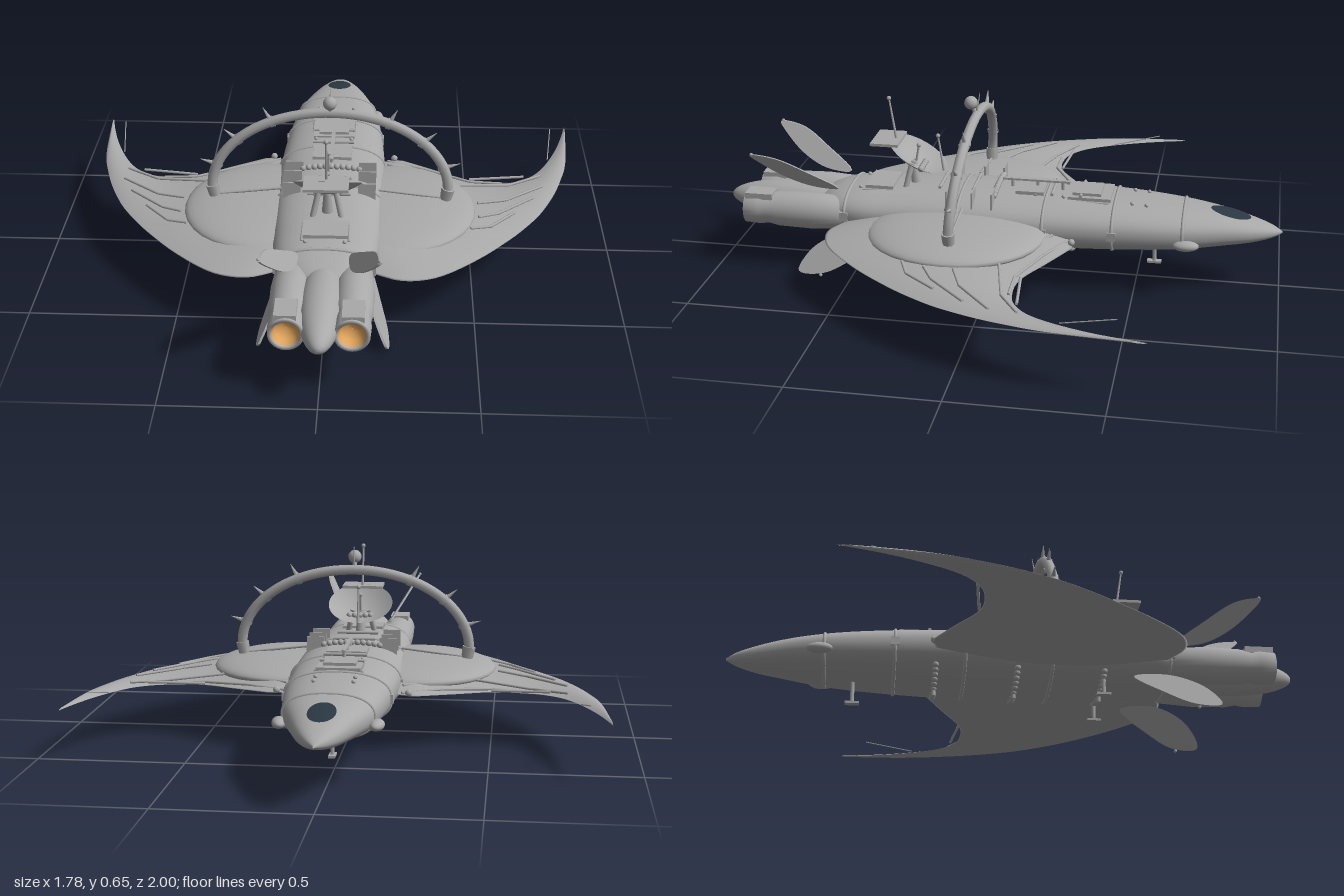
import * as THREE from 'three';

const V = (x, y, z) => new THREE.Vector3(x, y, z);

// Smooth lookup through rows of [station, ...values]
function table(rows) {
  const n = rows[0].length - 1;
  const f = new THREE.CubicInterpolant(rows.map(r => r[0]), rows.flatMap(r => r.slice(1)), n, new Float64Array(n));
  return t => [...f.evaluate(t)];
}

// Skin over closed rings of points
function loft(rings, flip) {
  const n = rings[0].length, idx = [];
  for (let i = 0; i < rings.length - 1; i++) for (let j = 0; j < n; j++) {
    const a = i * n + j, b = i * n + (j + 1) % n, c = a + n, d = b + n;
    if (flip) idx.push(a, c, b, b, c, d); else idx.push(a, b, c, b, d, c);
  }
  const g = new THREE.BufferGeometry().setFromPoints(rings.flat());
  g.setIndex(idx);
  g.computeVertexNormals();
  return g;
}

// Hull: z -> half width, bottom, top
const hullAt = table([[-1, .003, .208, .214], [-.97, .03, .195, .23], [-.9, .068, .178, .252], [-.8, .105, .165, .275],
  [-.66, .147, .15, .293], [-.42, .178, .137, .31], [-.1, .193, .13, .318], [.15, .192, .13, .318],
  [.35, .182, .135, .31], [.53, .162, .147, .298], [.6, .125, .16, .28], [.66, .05, .19, .25]]);
const pw = (v, e) => Math.sign(v) * Math.abs(v) ** e;
function hullPoint(z, a) {
  const [w, b, t] = hullAt(z);
  return V(w * pw(Math.cos(a), .85), (b + t) / 2 + (t - b) / 2 * pw(Math.sin(a), .85), z);
}
const hullRing = z => Array.from({ length: 40 }, (_, j) => hullPoint(z, j / 40 * Math.PI * 2));
function hullTop(x, z) {
  const [w, b, t] = hullAt(z);
  const c = Math.min(1, Math.abs(x) / w) ** (1 / .85);
  return (b + t) / 2 + (t - b) / 2 * Math.sqrt(1 - c * c) ** .85;
}

// Wing: x -> leading z, trailing z, edge y, rise above, drop below
const wingAt = table([[.12, -.27, .5, .205, .065, .04], [.2, -.285, .545, .205, .06, .037], [.24, -.297, .562, .205, .053, .035],
  [.3, -.27, .56, .203, .045, .03], [.375, -.23, .528, .2, .036, .026], [.51, -.158, .4, .194, .028, .018],
  [.6, -.15, .29, .191, .022, .013], [.68, -.17, .18, .191, .018, .009], [.76, -.245, .04, .193, .014, .007],
  [.835, -.41, -.17, .197, .01, .006], [.87, -.53, -.34, .2, .007, .005], [.888, -.61, -.56, .202, .003, .003]]);
function wingTop(x, z) {
  const [l, t, y, up] = wingAt(x);
  const u = (z - (l + t) / 2) / ((t - l) / 2);
  return y + up * Math.max(0, 1 - u * u);
}
function wingGeometry(s) {
  const rings = [];
  for (let i = 0; i <= 44; i++) {
    const x = .12 + .768 * Math.sin(i / 44 * Math.PI / 2);
    const [l, t, y, up, down] = wingAt(x);
    rings.push(Array.from({ length: 32 }, (_, j) => {
      const a = j / 32 * Math.PI * 2, c = Math.cos(a);
      return V(s * x, y + (c > 0 ? up : -down) * c * c, (l + t) / 2 + (t - l) / 2 * Math.sin(a));
    }));
  }
  return loft(rings, s < 0);
}

export function createModel() {
  const model = new THREE.Group();
  const mat = (name, color) => new THREE.MeshStandardMaterial({ name, color, side: THREE.DoubleSide });
  const grey = mat('hull grey', 0xa9a9a9);
  const glass = mat('dark glass', 0x2b3842);
  const glow = mat('engine orange', 0xe0a45c);

  const add = (name, geo, material = grey, pos) => {
    const m = new THREE.Mesh(geo, material);
    m.name = name;
    if (pos) m.position.copy(pos);
    model.add(m);
    return m;
  };
  const box = (name, w, h, d, x, y, z) => add(name, new THREE.BoxGeometry(w, h, d), grey, V(x, y, z));
  const ball = (name, r, p) => add(name, new THREE.SphereGeometry(r, 14, 10), grey, p);
  const rod = (name, a, b, r, r2 = r) => {
    const m = add(name, new THREE.CylinderGeometry(r2, r, a.distanceTo(b), 8), grey, a.clone().lerp(b, .5));
    m.quaternion.setFromUnitVectors(V(0, 1, 0), b.clone().sub(a).normalize());
    return m;
  };
  const tube = (name, pts, r, closed = false) =>
    add(name, new THREE.TubeGeometry(new THREE.CatmullRomCurve3(pts, closed), 64, r, 8, closed));

  // Fuselage, raised bands and tail cone
  add('fuselage', loft(Array.from({ length: 61 }, (_, i) => hullRing(-.17 - .83 * Math.cos(i / 60 * Math.PI)))));
  for (const z of [-.66, -.42, -.18, .12, .53]) tube('hullBand', hullRing(z), .006, true);
  add('tailCone', new THREE.SphereGeometry(1, 28, 20).rotateX(Math.PI / 2).scale(.072, .066, .26), grey, V(0, .217, .735));

  // Canopy skin laid on the nose
  const canopy = new THREE.RingGeometry(.001, 1, 28, 5), cp = canopy.attributes.position;
  for (let i = 0; i < cp.count; i++) {
    const x = cp.getX(i) * .045, z = -.82 - cp.getY(i) * .07;
    cp.setXYZ(i, x, hullTop(x, z) + .004, z);
  }
  canopy.computeVertexNormals();
  add('canopy', canopy, glass);

  // Blade fin drawn in the z-y plane and leaned outward
  const fin = (name, pts, s, x0, y0, k) => {
    const curve = new THREE.CatmullRomCurve3(pts.map(p => V(p[0], p[1], 0)), true);
    const g = new THREE.ExtrudeGeometry(new THREE.Shape(curve.getPoints(40).slice(0, -1)), { depth: .008, bevelEnabled: false });
    const p = g.attributes.position;
    for (let i = 0; i < p.count; i++)
      p.setXYZ(i, s * (x0 + (p.getY(i) - y0) * k + p.getZ(i)), p.getY(i), p.getX(i));
    g.computeVertexNormals();
    add(name, g);
  };

  for (const s of [1, -1]) {
    // Wing with raised inner blister and kinked ribs
    add('wing', wingGeometry(s));
    add('wingBlister', new THREE.SphereGeometry(1, 32, 20).scale(.285, .05, .31), grey, V(s * .225, .222, .11));
    const ribs = [[[.2, -.22], [.43, -.075], [.64, -.12], [.76, -.19]], [[.2, -.275], [.34, -.21], [.5, -.14], [.62, -.14]],
      [[.52, .06], [.62, .02], [.76, -.1]], [[.52, .16], [.59, .12], [.72, -.01]], [[.49, .24], [.56, .21], [.65, .1]]];
    for (const path of ribs) {
      const pts = path.map(([x, z]) => V(s * x, wingTop(x, z) + .003, z));
      for (let i = 1; i < pts.length; i++) rod('wingRib', pts[i - 1], pts[i], .005);
    }
    rod('wingAerial', V(s * .8, .2, -.33), V(s * .822, .24, -.51), .002);
    rod('edgeWire', V(s * .5, .2, -.16), V(s * .7, .205, -.18), .005);
    ball('wingRootKnob', .012, V(s * .225, .215, -.29));

    // Engine pod, orange throat and top box
    const profile = [[.02, .48], [.058, .54], [.066, .66], [.063, .78], [.055, .82], [.06, .85], [.057, .905], [.045, .905], [.04, .86]];
    add('enginePod', new THREE.LatheGeometry(profile.map(p => new THREE.Vector2(...p)), 28).rotateX(Math.PI / 2), grey, V(s * .102, .214, 0));
    const throat = [[.044, .9], [.036, .875], [.018, .862], [.001, .86]];
    add('engineThroat', new THREE.LatheGeometry(throat.map(p => new THREE.Vector2(...p)), 24).rotateX(Math.PI / 2), glow, V(s * .102, .214, 0));
    box('engineBox', .07, .022, .1, s * .105, .268, .85);

    // Upper and lower tail blades
    fin('upperFin', [[.566, .3], [.66, .305], [.75, .345], [.82, .4], [.858, .443], [.83, .444], [.76, .428], [.67, .375]], s, .085, .3, .65);
    fin('lowerFin', [[.4, .14], [.47, .155], [.56, .145], [.65, .095], [.69, .025], [.6, .022], [.5, .07]], s, .14, .155, -.5);
    ball('finTip', .006, V(s * .185, .446, .85));
    ball('finTip', .006, V(s * .21, .012, .61));

    // Nose pods, rear landing legs and upright deck plates
    const pod = add('nosePod', new THREE.SphereGeometry(1, 18, 14).scale(.024, .018, .045), grey, V(s * .155, .2, -.675));
    pod.rotation.y = s * .1;
    rod('rearLeg', V(s * .12, .17, .3), V(s * .12, .085, .3), .007);
    box('rearFoot', .022, .008, .05, s * .12, .084, .3);
    for (const z of [0, .07, .16]) box('deckPlate', .062, .065, .006, s * .13, .312, z);

    // Long deck rails, small fittings and side clamps
    rod('deckRail', V(s * .078, hullTop(.078, -.4), -.4), V(s * .078, hullTop(.078, .48), .48), .005);
    for (const z of [-.53, -.48, -.36, -.24, -.14, .4, .45, .49]) ball('deckStud', .007, V(s * .065, hullTop(.065, z) + .004, z));
    for (const z of [-.42, -.18, .53]) box('bandClamp', .014, .03, .03, s * hullAt(z)[0], .225, z);
  }

  // Front landing leg
  rod('frontLeg', V(0, .15, -.56), V(0, .066, -.56), .007);
  box('frontFoot', .022, .008, .05, 0, .066, -.56);

  // Bead strings below the belly and across the deck
  for (const z of [-.28, 0, .3]) {
    for (let k = -5; k <= 5; k++) ball('bellyBead', .011, hullPoint(z, -Math.PI / 2 + k * .17));
    rod('bellyPeg', V(0, .14, z), V(0, .105, z), .007);
  }
  for (let k = -5; k <= 5; k++) ball('deckBead', .011, V(k * .02, hullTop(k * .02, 0) + .008, 0));
  for (let k = -2; k <= 2; k++) ball('dishBead', .011, V(k * .02, .375, .275));

  // Deck hatches and raised spine
  box('frontHatch', .15, .012, .15, 0, .314, -.33);
  box('hatchLid', .11, .012, .1, 0, .324, -.32);
  box('midHatch', .14, .012, .1, 0, .322, -.12);
  box('rearHatch', .15, .012, .1, 0, .309, .42);
  box('spineBar', .014, .007, .24, 0, .346, -.135);
  for (const z of [-.23, -.14, -.05]) rod('spinePost', V(0, .31, z), V(0, .35, z), .006);
  for (const z of [-.3, -.2, .08, .2]) rod('crossBar', V(-.075, .324, z), V(.075, .324, z), .006);

  // Arch with clamps, spikes and crowning ball
  const archPoint = (a, r = 0) => V((.413 + r) * Math.cos(a), .295 + (.28 + r) * Math.sin(a), .1 - .02 * Math.sin(a));
  tube('arch', Array.from({ length: 25 }, (_, i) => archPoint(i / 24 * Math.PI)), .018);
  for (const s of [1, -1]) {
    rod('archFoot', V(s * .413, .3, .1), V(s * .405, .255, .1), .024, .02);
    rod('archMount', V(s * .405, .26, .1), V(s * .4, .215, .1), .008);
    rod('archStay', V(s * .41, .262, .1), V(s * .17, .29, .1), .005);
  }
  for (const a of [.3, .68, 1.06]) for (const b of [a, Math.PI - a]) {
    rod('archSpike', archPoint(b, .01), archPoint(b, .06), .009, .001);
    tube('archCollar', Array.from({ length: 4 }, (_, i) => archPoint(b - .02 + i * .013)), .021);
  }
  ball('archBall', .024, V(0, .62, .1));
  rod('archBallPost', archPoint(Math.PI / 2), V(0, .62, .1), .008);
  rod('archPin', V(0, .59, .08), V(0, .66, .068), .004, .001);

  // Tilted dish with mount and feed
  const bowl = Array.from({ length: 9 }, (_, i) => new THREE.Vector2(.001 + .118 * i / 8, .04 * (i / 8) ** 2));
  const dish = add('dish', new THREE.LatheGeometry(bowl, 36), grey, V(0, .383, .31));
  dish.rotation.x = -.5;
  rod('dishPedestal', V(0, .3, .3), V(0, .39, .31), .02, .012);
  for (const s of [1, -1]) rod('dishStrut', V(s * .05, .3, .33), V(s * .03, .39, .31), .01);
  rod('dishFeed', V(0, .39, .3), V(0, .45, .29), .004);
  ball('dishFeedTip', .008, V(0, .45, .29));
  box('aerialPlate', .15, .01, .1, 0, .468, .4);

  // Aerial masts with ball tips
  for (const [y0, z0, y1, z1] of [[.46, .37, .62, .395], [.36, .2, .49, .22]]) {
    rod('mast', V(0, y0, z0), V(0, y1, z1), .005, .003);
    ball('mastTip', .008, V(0, y1, z1));
  }
  return model;
}
